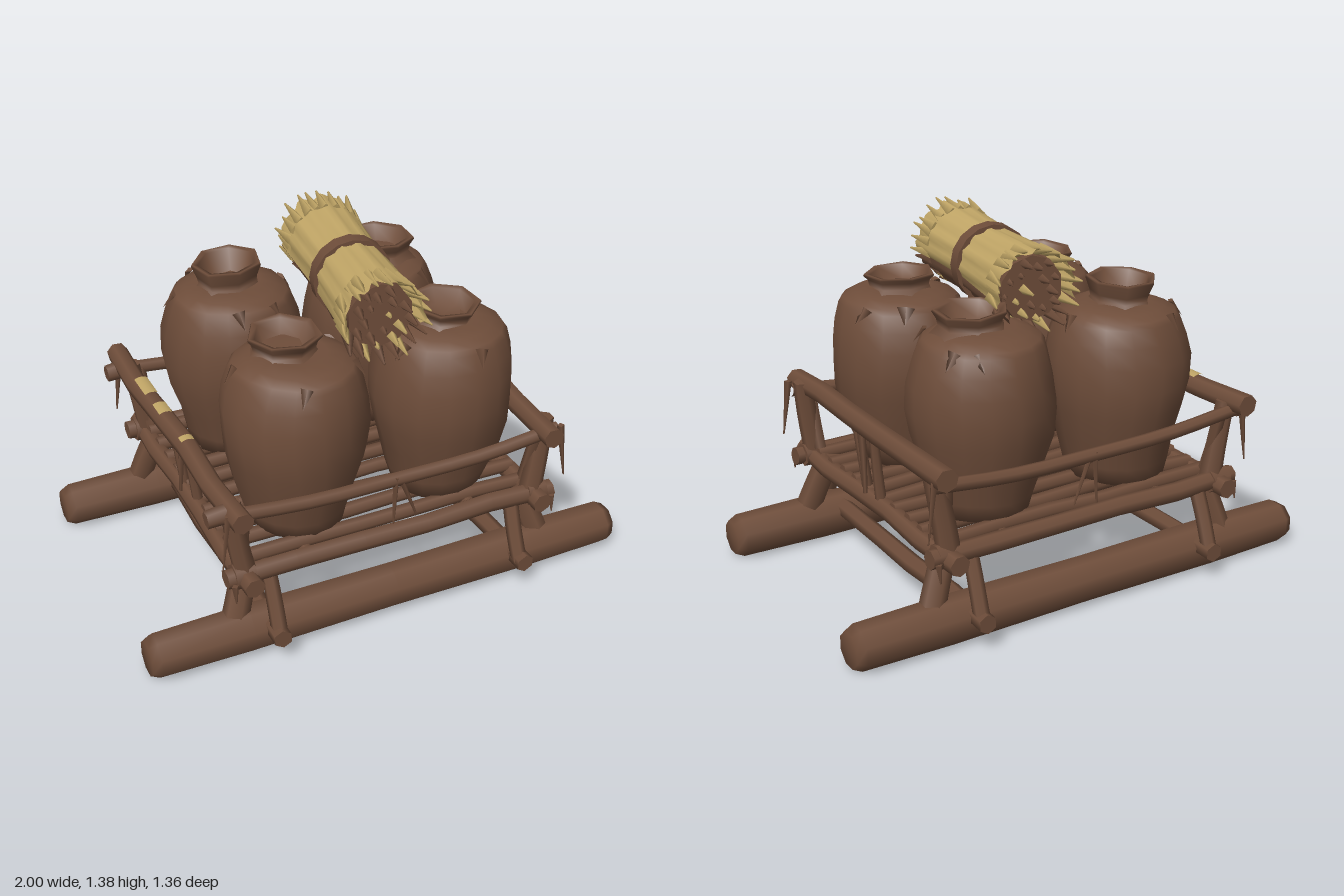
import * as THREE from 'three';

const mat = (name, color, extra = {}) => Object.assign(new THREE.MeshStandardMaterial({ color, ...extra }), { name });
const V = (x, y, z) => new THREE.Vector3(x, y, z);
const profile = (points) => points.map(([r, y]) => new THREE.Vector2(r, y));

export function createModel() {
  const wood = mat('brown wood and clay', 0x6e4d3a);
  const straw = mat('dry straw', 0xc0a566, { side: THREE.DoubleSide });
  const root = new THREE.Group();
  root.name = 'loadedSledge';

  let seed = 7;
  const rnd = () => (seed = (seed * 16807) % 2147483647) / 2147483647;

  const add = (name, geo, material = wood, parent = root) => {
    const m = new THREE.Mesh(geo, material);
    m.name = name;
    parent.add(m);
    return m;
  };

  // Shift vertices by a smooth function of position so seams stay closed
  const wobble = (geo, amount, phase, freq = 9) => {
    const p = geo.attributes.position;
    for (let i = 0; i < p.count; i++) {
      const x = p.getX(i), y = p.getY(i), z = p.getZ(i);
      p.setXYZ(i,
        x + amount * Math.sin(y * freq + z * 6 + phase),
        y + amount * 0.5 * Math.sin(x * 14 + z * 11 + phase),
        z + amount * Math.cos(y * freq * 0.8 + x * 7 + phase * 2));
    }
    return geo;
  };

  // Slightly crooked pole from a to b
  const pole = (name, a, b, r0, r1 = r0, sides = 7, material = wood, parent = root, crook = 0.15) => {
    const dir = b.clone().sub(a);
    const geo = new THREE.CylinderGeometry(r1, r0, dir.length(), sides, 5);
    wobble(geo, r0 * crook, rnd() * 6);
    const m = add(name, geo, material, parent);
    m.position.copy(a).add(b).multiplyScalar(0.5);
    m.quaternion.setFromUnitVectors(V(0, 1, 0), dir.normalize());
    return m;
  };

  // Runners, blunt at the ends
  for (const s of [-1, 1]) {
    const geo = new THREE.LatheGeometry(profile([[0, -1], [0.07, -1], [0.087, -0.965], [0.093, -0.6], [0.088, 0],
      [0.093, 0.6], [0.087, 0.965], [0.07, 1], [0, 1]]), 8);
    geo.rotateY(Math.PI / 8).rotateZ(-Math.PI / 2);
    add('runner', geo).position.set(0, 0.087, 0.527 * s);
  }

  for (const sx of [-1, 1]) {
    // Cross beam joining the runners, and the beam below the deck
    pole('crossBeam', V(0.52 * sx, 0.12, -0.68), V(0.52 * sx, 0.12, 0.68), 0.038, 0.038, 6);
    pole('deckBeam', V(0.35 * sx, 0.36, -0.53), V(0.35 * sx, 0.36, 0.53), 0.027);
    // Side rails
    pole('lowerSideRail', V(0.615 * sx, 0.358, -0.64), V(0.615 * sx, 0.358, 0.64), 0.04);
    pole('upperSideRail', V((sx < 0 ? -0.685 : 0.655), 0.69, -0.65), V((sx < 0 ? -0.655 : 0.625), 0.67, 0.65), 0.044, 0.042);
    for (const z of [-0.06, 0.065])
      pole('sideSpindle', V(0.61 * sx, 0.36, z), V(0.645 * sx, 0.68, z), 0.022, 0.018, 6);
    pole('sideRope', V(0.65 * sx, 0.66, 0.02), V(0.655 * sx, 0.4, 0), 0.017, 0.008, 4);
    for (const sz of [-1, 1]) {
      // Splayed legs, corner posts and braces
      pole('frontLeg', V(0.52 * sx, 0.11, 0.65 * sz), V(0.52 * sx, 0.38, 0.53 * sz), 0.032, 0.03, 6);
      pole('splayedLeg', V(0.66 * sx, 0.13, 0.53 * sz), V(0.575 * sx, 0.38, 0.465 * sz), 0.052, 0.048, 6);
      pole('cornerPost', V(0.605 * sx, 0.34, 0.54 * sz), V(0.65 * sx, 0.69, 0.54 * sz), 0.046, 0.038, 6);
      pole('cornerBrace', V(0.6 * sx, 0.4, 0.5 * sz), V(0.61 * sx, 0.65, 0.56 * sz), 0.025, 0.025, 5);
      // Deck lashing and frayed loose rope ends
      const lashing = add('deckLashing', new THREE.CylinderGeometry(0.05, 0.048, 0.08, 7));
      lashing.rotation.z = Math.PI / 2;
      lashing.position.set(0.62 * sx, 0.365, 0.55 * sz);
      pole('looseRope', V(0.69 * sx, 0.68, 0.6 * sz), V(0.715 * sx, 0.45, 0.605 * sz), 0.015, 0.003, 4);
      pole('looseRope', V(0.67 * sx, 0.36, 0.6 * sz), V(0.67 * sx, 0.29, 0.61 * sz), 0.014, 0.003, 4);
    }
  }

  // Front and back rails
  for (const sz of [-1, 1]) {
    pole('lowerEndRail', V(-0.69, 0.367, 0.555 * sz), V(0.69, 0.363, 0.555 * sz), 0.038);
    const sag = new THREE.CatmullRomCurve3([V(-0.72, 0.66, 0.57 * sz), V(-0.35, 0.625, 0.575 * sz),
      V(0, 0.613, 0.565 * sz), V(0.35, 0.618, 0.572 * sz), V(0.69, 0.65, 0.57 * sz)]);
    add('upperEndRail', new THREE.TubeGeometry(sag, 12, 0.027, 7));
    pole('railTip', V(-0.68, 0.66, 0.57 * sz), V(-0.755, 0.655, 0.57 * sz), 0.037, 0.033, 6);
    pole('endRope', V(-0.01, 0.63, 0.575 * sz), V(-0.02, 0.42, 0.575 * sz), 0.014, 0.004, 4);
    pole('endRope', V(0.01, 0.62, 0.575 * sz), V(0.08, 0.43, 0.57 * sz), 0.012, 0.004, 4);
  }

  // Deck slats
  for (let i = 0; i < 10; i++) {
    const z = -0.48 + i * 0.1067;
    pole('deckSlat', V(-0.62, 0.385, z), V(0.62, 0.385, z), 0.03, 0.028, 6);
  }

  // Worn straw-coloured patches on one rail
  for (const [z, x, l] of [[-0.285, -0.677, 0.13], [-0.1, -0.675, 0.08], [0.14, -0.667, 0.035]]) {
    const patch = new THREE.CylinderGeometry(0.05, 0.05, l, 5, 1, true, Math.PI - 0.55, 1.1);
    patch.rotateX(Math.PI / 2);
    add('railPatch', patch, straw).position.set(x, 0.684, z);
  }

  // Clay jars: rounded body, ragged shoulder cover and angular hollow neck
  const bodyProfile = profile([[0, 0.4], [0.185, 0.4], [0.205, 0.47], [0.235, 0.58], [0.268, 0.7], [0.28, 0.8],
    [0.277, 0.9], [0.26, 0.98], [0.238, 1.045], [0.222, 1.065], [0.18, 1.085], [0.12, 1.105], [0, 1.09]]);
  const jars = [[-0.3, -0.305, 1.19, 0, 0], [0.315, -0.3, 1.17, 0.03, 0], [-0.3, 0.31, 1.165, -0.02, -0.03], [0.315, 0.31, 1.16, 0, -0.02]];
  jars.forEach(([x, z, top, nx, nz], k) => {
    const jar = new THREE.Group();
    jar.name = 'jar';
    jar.position.set(x, 0, z);
    root.add(jar);
    add('jarBody', wobble(new THREE.LatheGeometry(bodyProfile, 16), 0.007, k * 1.7, 14), wood, jar);
    const neck = profile([[0.16, 1.07], [0.12, 1.11], [0.125, 1.135], [0.142, top - 0.008], [0.138, top], [0.115, top - 0.005], [0.085, 1.1], [0, 1.095]]);
    const n = add('jarNeck', wobble(new THREE.LatheGeometry(neck, 7), 0.009, k * 2.3), wood, jar);
    n.position.set(nx, 0, nz);
    n.rotation.y = k;
    // Small torn flaps around the shoulder
    for (let i = 0; i < 5; i++) {
      const a = (i + rnd() * 0.9) / 5 * Math.PI * 2;
      const flap = add('shoulderFlap', new THREE.ConeGeometry(0.02 + rnd() * 0.015, 0.075, 4), wood, jar);
      flap.scale.z = 0.35;
      flap.position.set(Math.sin(a) * 0.243, 1.03 + rnd() * 0.02, Math.cos(a) * 0.243);
      flap.rotation.set(2.5, a, (rnd() - 0.5) * 0.8, 'YXZ');
    }
  });

  // Straw bundle lying along z, turned a little, resting on the jars
  const bundle = new THREE.Group();
  bundle.name = 'strawBundle';
  bundle.position.set(0.055, 1.212, 0.04);
  bundle.rotation.set(-0.01, -0.14, 0, 'YXZ');
  root.add(bundle);
  const core = new THREE.CylinderGeometry(0.125, 0.125, 0.72, 10);
  core.rotateX(Math.PI / 2);
  add('bundleCore', core, wood, bundle);

  // Creased skin, waisted at the band: straw above, brown below
  const skin = (name, start, length, material) => {
    const geo = new THREE.CylinderGeometry(1, 1, 0.8, Math.round(length * 8), 6, true, start, length);
    const p = geo.attributes.position;
    for (let i = 0; i < p.count; i++) {
      const a = Math.atan2(p.getX(i), p.getZ(i)), y = p.getY(i);
      const r = 0.139 + 0.035 * Math.abs(y) + 0.006 * Math.sin(a * 13 + y * 3);
      p.setXYZ(i, Math.sin(a) * r, y + Math.sign(y) * 0.02 * Math.sin(a * 9), Math.cos(a) * r);
    }
    geo.rotateX(Math.PI / 2);
    geo.computeVertexNormals();
    add(name, geo, material, bundle);
  };
  const low = 1.3;
  skin('strawSkin', low, Math.PI * 2 - low * 2, straw);
  skin('bundleUnderside', -low, low * 2, wood);

  // Splayed pointed tips around both ends
  for (const end of [-1, 1]) {
    for (let i = 0; i < 22; i++) {
      const a = (i + rnd() * 0.6) / 22 * Math.PI * 2;
      const c = Math.cos(a), s = Math.sin(a), out = 0.152 + rnd() * 0.026;
      pole('stalkTip', V(c * 0.137, s * 0.137, 0.3 * end), V(c * out, s * out, (0.405 + rnd() * 0.045) * end),
        0.026, 0.004, 4, s < -0.3 && i % 3 ? wood : straw, bundle, 0.1);
    }
    // Inner stalks poking out of the end
    for (let i = 0; i < 16; i++) {
      const a = i * 2.4, r = 0.03 + 0.08 * Math.sqrt(i / 16);
      pole('innerStalk', V(Math.cos(a) * r, Math.sin(a) * r, 0.3 * end),
        V(Math.cos(a) * r * 1.1, Math.sin(a) * r * 1.1, (0.38 + rnd() * 0.06) * end), 0.03, 0.006, 4, i % 5 ? wood : straw, bundle, 0.1);
    }
  }

  // Binding band
  const band = new THREE.CylinderGeometry(0.156, 0.156, 0.058, 16, 1);
  band.rotateX(Math.PI / 2);
  add('bundleBand', band, wood, bundle).position.z = 0.015;

  return root;
}
